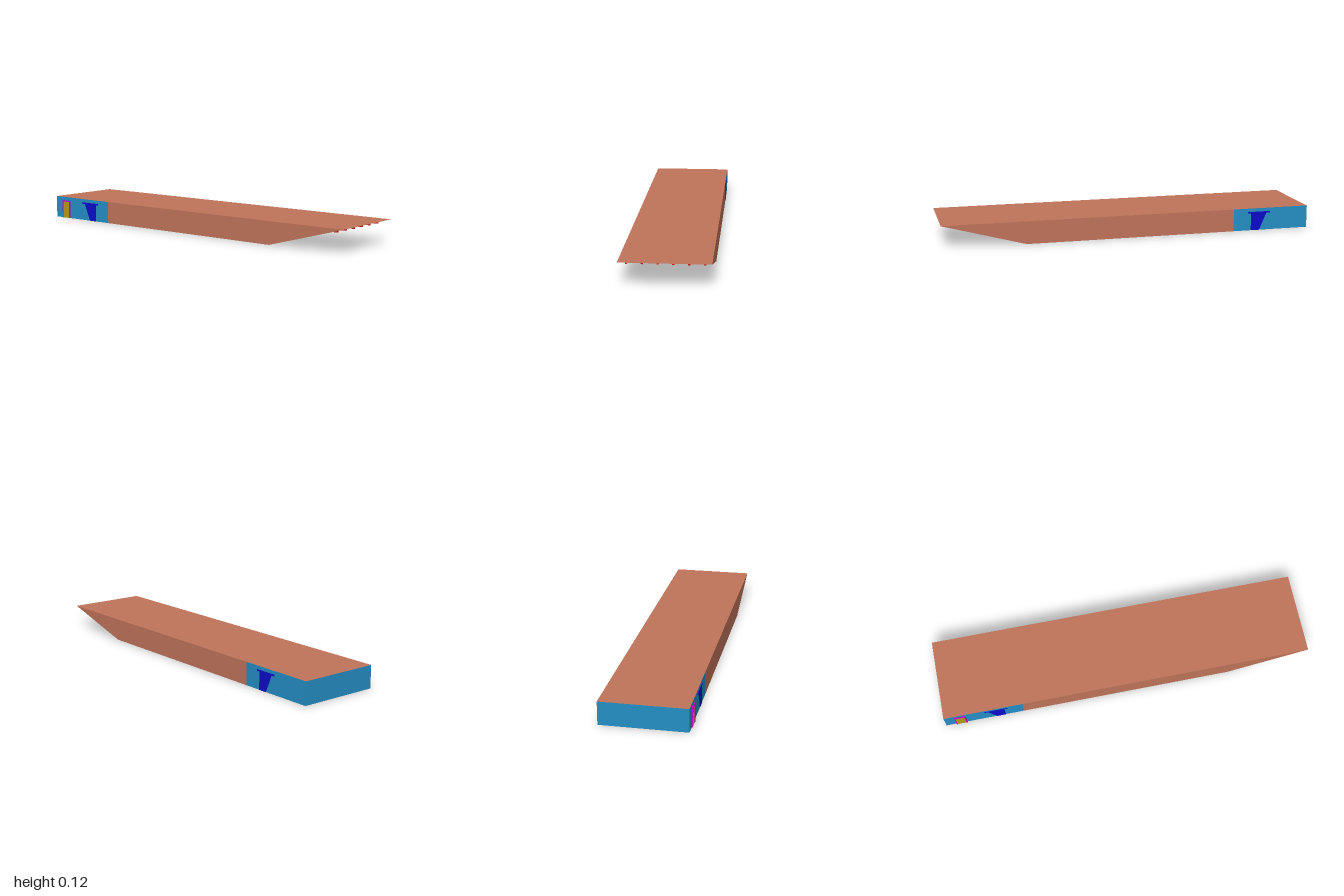
import * as THREE from 'three';

const H = 0.121, BACK = -0.223, FRONT = 0.218;
const SPLIT = -0.575, FOOT = 0.56, TIP = 1;
const MID = (BACK + FRONT) / 2, DEPTH = FRONT - BACK;

const mat = (color, side = THREE.FrontSide) => new THREE.MeshStandardMaterial({ color, side });
const brown = mat(0xc0745a), blue = mat(0x258fc5), navy = mat(0x0c0ccc);
const magenta = mat(0xcc00cc), gold = mat(0xb8961c), red = mat(0xcc1020);

export function createModel() {
  const model = new THREE.Group();

  const add = (name, geometry, material, parent = model) => {
    const mesh = new THREE.Mesh(geometry, material);
    mesh.name = name;
    parent.add(mesh);
    return mesh;
  };
  // Box given by its limits on each axis
  const box = (name, [x0, x1], [y0, y1], [z0, z1], material, parent) => {
    const g = new THREE.BoxGeometry(x1 - x0, y1 - y0, z1 - z0);
    g.translate((x0 + x1) / 2, (y0 + y1) / 2, (z0 + z1) / 2);
    return add(name, g, material, parent);
  };
  // Outline in x and y, extruded between two z limits
  const slab = (name, points, z0, z1, material, parent) => {
    const shape = new THREE.Shape(points.map(([x, y]) => new THREE.Vector2(x, y)));
    const g = new THREE.ExtrudeGeometry(shape, { depth: z1 - z0, bevelEnabled: false });
    g.translate(0, 0, z0);
    return add(name, g, material, parent);
  };

  // Main block, and the end block with blue walls and a dark floor
  box('mainBlock', [SPLIT, FOOT], [0, H], [BACK, FRONT], brown);
  box('endBlock', [-1, SPLIT], [0, H], [BACK, FRONT], [blue, blue, brown, navy, blue, blue]);

  // Overhanging wedges, separated by two open slots
  const wedges = new THREE.Group();
  wedges.name = 'overhang';
  model.add(wedges);
  for (const [z0, z1] of [[BACK, -0.095], [-0.063, 0.097], [0.132, FRONT]]) {
    slab('wedge', [[FOOT, 0], [TIP, H], [FOOT, H]], z0, z1, brown, wedges);
  }
  // Thin deck closing the slots from above
  const slotDeck = mat(0xc0745a, THREE.DoubleSide);
  for (const [z0, z1] of [[-0.095, -0.063], [0.097, 0.132]]) {
    const g = new THREE.PlaneGeometry(TIP - FOOT, z1 - z0).rotateX(-Math.PI / 2);
    g.translate((FOOT + TIP) / 2, H, (z0 + z1) / 2);
    add('slotDeck', g, slotDeck, wedges);
  }

  // Row of lamps under the tip
  for (let i = 0; i < 6; i++) {
    const z = -0.187 + i * 0.0738;
    box('lamp', [0.918, 0.945], [0.098, 0.108], [z - 0.005, z + 0.005], red);
  }

  // Tapered panel with a top bar on both long walls
  for (const [z0, z1] of [[FRONT - 0.002, FRONT + 0.0015], [BACK - 0.0015, BACK + 0.002]]) {
    const panel = new THREE.Group();
    panel.name = 'sidePanel';
    model.add(panel);
    slab('taperedPanel', [[-0.722, 0], [-0.674, 0], [-0.674, 0.094], [-0.762, 0.094]], z0, z1, navy, panel);
    box('topBar', [-0.784, -0.655], [0.094, 0.102], [z0, z1], navy, panel);
  }

  // Door with its frame and two raised fields
  const door = new THREE.Group();
  door.name = 'door';
  model.add(door);
  slab('doorFrame', [
    [-0.945, 0], [-0.94, 0], [-0.94, 0.095], [-0.891, 0.095],
    [-0.891, 0], [-0.885, 0], [-0.885, 0.101], [-0.945, 0.101],
  ], FRONT - 0.001, 0.2245, magenta, door);
  box('doorLeaf', [-0.94, -0.891], [0, 0.095], [FRONT - 0.001, 0.2225], gold, door);
  for (const [y0, y1] of [[0.01, 0.043], [0.052, 0.083]]) {
    box('doorField', [-0.93, -0.901], [y0, y1], [0.222, 0.2235], gold, door);
  }

  return model;
}
